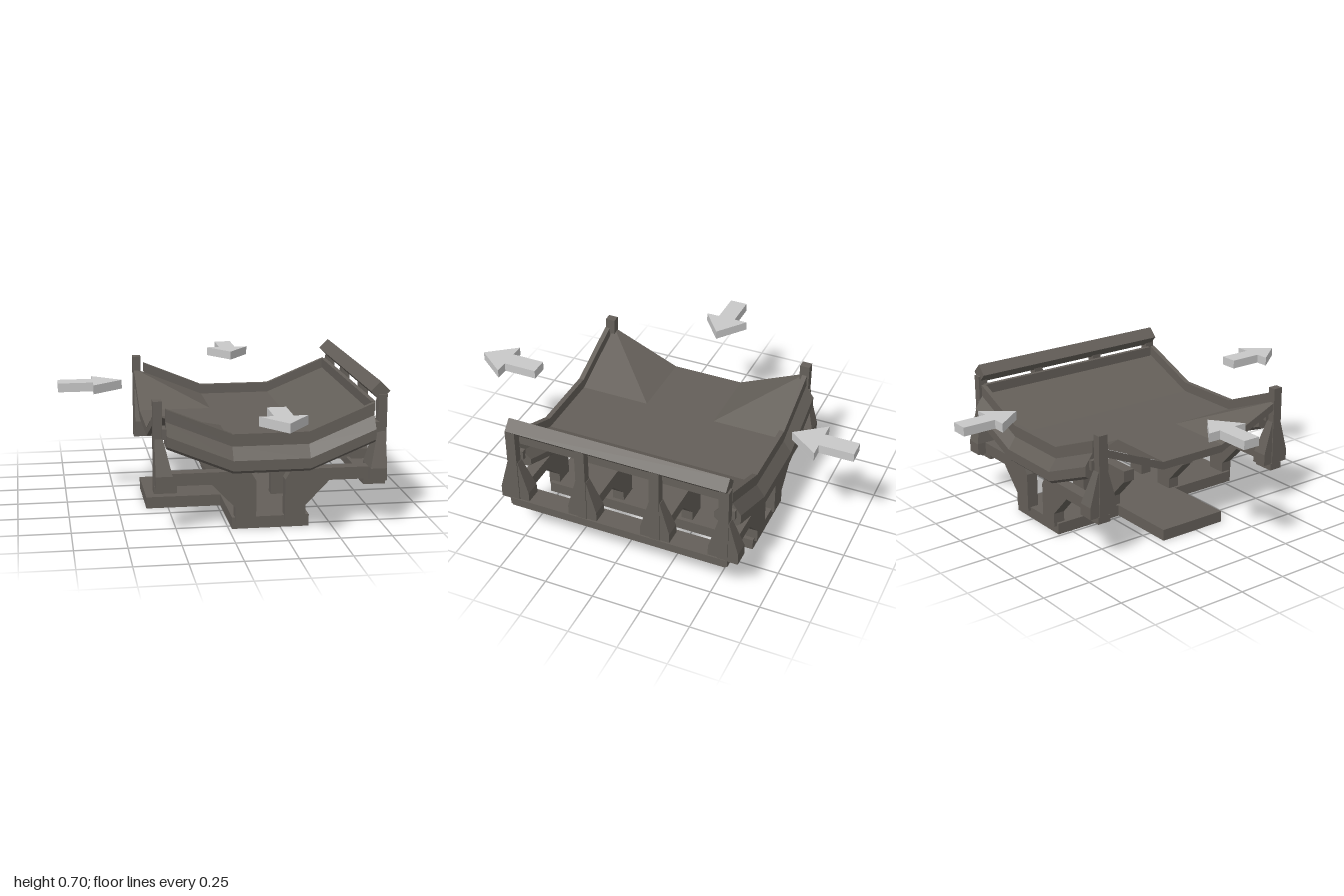
import * as THREE from 'three';

const ZC = -0.015;   // middle of the body along z
const XC = 0.2;      // mirror line of the support frames

export function createModel() {
  const model = new THREE.Group();
  const stone = new THREE.MeshStandardMaterial({ color: 0x645f59 });
  stone.name = 'warm grey stone';
  const stoneSheet = new THREE.MeshStandardMaterial({ color: 0x645f59, side: THREE.DoubleSide });
  stoneSheet.name = 'warm grey stone sheet';
  const pale = new THREE.MeshStandardMaterial({ color: 0xc8c8c8 });
  pale.name = 'pale grey';

  const add = (name, geometry, material = stone) => {
    const mesh = new THREE.Mesh(geometry, material);
    mesh.name = name;
    model.add(mesh);
    return mesh;
  };

  // Box given by its limits
  const box = (name, x0, x1, y0, y1, z0, z1) => {
    const g = new THREE.BoxGeometry(x1 - x0, y1 - y0, z1 - z0);
    g.translate((x0 + x1) / 2, (y0 + y1) / 2, (z0 + z1) / 2);
    return add(name, g);
  };

  // Capped, hard-edged solid through rings of [x, y, z] points
  const loft = (rings) => {
    const tris = [];
    const n = rings[0].length;
    for (let r = 0; r < rings.length - 1; r++) {
      for (let i = 0; i < n; i++) {
        const j = (i + 1) % n;
        const a = rings[r][i], b = rings[r][j], c = rings[r + 1][j], d = rings[r + 1][i];
        tris.push([a, b, c], [a, c, d]);
      }
    }
    const cap = (ring, flip) => {
      const mid = [0, 1, 2].map((k) => ring.reduce((s, p) => s + p[k], 0) / n);
      ring.forEach((p, i) => {
        const q = ring[(i + 1) % n];
        tris.push(flip ? [mid, q, p] : [mid, p, q]);
      });
    };
    cap(rings[0], true);
    cap(rings[rings.length - 1], false);
    // Turn all faces outward whichever way the rings run
    let volume = 0;
    const v = [0, 1, 2].map(() => new THREE.Vector3());
    for (const t of tris) {
      t.forEach((p, i) => v[i].set(...p));
      volume += v[0].dot(v[1].cross(v[2]));
    }
    if (volume < 0) tris.forEach((t) => t.reverse());
    const g = new THREE.BufferGeometry();
    g.setAttribute('position', new THREE.Float32BufferAttribute(tris.flat(2), 3));
    g.computeVertexNormals();
    return g;
  };

  // Prism from an x-y outline, centred on z
  const plate = (points, thickness, z) => {
    const shape = new THREE.Shape(points.map((p) => new THREE.Vector2(...p)));
    const g = new THREE.ExtrudeGeometry(shape, { depth: thickness, bevelEnabled: false });
    return g.translate(0, 0, z - thickness / 2);
  };

  // Base slab with its side extension
  box('base', 0.015, 0.39, 0, 0.058, ZC - 0.56, ZC + 0.56);
  box('baseExtension', -0.36, 0.015, 0, 0.058, -0.205, 0.165);

  // Floor: flat middle, one sloping side and two raised corners
  const xs = [-0.355, 0.015, 0.385, 0.7];
  const zs = [-0.555, -0.205, 0.165, 0.525];
  const height = (i, j) => (i === 3 ? 0.55 : i === 0 && (j === 0 || j === 3) ? 0.573 : 0.42);
  const floorPoints = [];
  const point = (i, j) => [xs[i], height(i, j), zs[j]];
  for (let i = 0; i < 3; i++) {
    for (let j = 0; j < 3; j++) {
      const a = point(i, j), b = point(i, j + 1), c = point(i + 1, j + 1), d = point(i + 1, j);
      if (j === 2) floorPoints.push(a, b, d, b, c, d);
      else floorPoints.push(a, b, c, a, c, d);
    }
  }
  const floor = new THREE.BufferGeometry();
  floor.setAttribute('position', new THREE.Float32BufferAttribute(floorPoints.flat(), 3));
  floor.computeVertexNormals();
  add('floor', floor, stoneSheet);

  // Thin skirt under the open edge, lip along the railed edge
  add('openEdgeSkirt', loft(zs.map((z, j) => {
    const y = height(0, j) - 0.002;
    return [[-0.355, y, z], [-0.335, y - 0.006, z], [-0.335, y - 0.04, z], [-0.355, y - 0.04, z]];
  })));
  box('railedEdgeLip', 0.69, 0.712, 0.55, 0.6, ZC - 0.545, ZC + 0.53);

  // Moulded kerbs following the dip: [distance from middle, height]
  const section = [[0.54, 0.47], [0.565, 0.47], [0.565, 0.41], [0.607, 0.35], [0.607, 0.3],
    [0.59, 0.285], [0.49, 0.285], [0.475, 0.3], [0.475, 0.33], [0.52, 0.37], [0.54, 0.41]];
  const stations = [[-0.3, 0.13], [0.015, 0], [0.385, 0], [0.7, 0.13]];
  for (const s of [-1, 1]) {
    add(s > 0 ? 'frontKerb' : 'backKerb', loft(stations.map(([x, rise]) =>
      section.map(([d, y]) => [x, y + rise, ZC + s * d]))));
  }

  // Support frames: a leg with an angled arm
  const frameOutline = [[-0.3, 0.29], [0.1, 0.29], [0.13, 0.24], [0.13, 0.04],
    [0.03, 0.04], [0.03, 0.11], [-0.085, 0.23], [-0.3, 0.23]];
  const shortOutline = frameOutline.map(([x, y]) => [Math.max(x, -0.09), y]);
  const mirrorX = (points) => points.map(([x, y]) => [2 * XC - x, y]);

  // Square upright with a flared buttress; side is -1 or 1 along x
  const addPost = (side, z) => {
    const at = (d) => XC + side * d;
    const span = (name, d0, d1, y0, y1, w) =>
      box(name, Math.min(at(d0), at(d1)), Math.max(at(d0), at(d1)), y0, y1, z - w, z + w);
    span('post', 0.518, 0.56, 0.2, 0.64, 0.025);
    const ring = (y, inner, outer, w) => [[at(inner), y, z - w], [at(outer), y, z - w],
      [at(outer), y, z + w], [at(inner), y, z + w]];
    add('buttress', loft([ring(0.23, 0.47, 0.555, 0.075), ring(0.29, 0.475, 0.555, 0.075),
      ring(0.46, 0.515, 0.555, 0.027)]));
  };

  [-0.56, -0.215, 0.165, 0.53].forEach((z, i) => {
    const end = i === 0 || i === 3;
    add('railSideFrame', plate(mirrorX(frameOutline), 0.06, z));
    add('openSideFrame', plate(end ? frameOutline : shortOutline, 0.06, z));
    addPost(1, z);
    if (end) {
      addPost(-1, z);
      box('cornerFoot', -0.36, -0.25, 0.197, 0.232, z - 0.035, z + 0.035);
      box('kerbBracket', -0.32, -0.295, 0.46, 0.51, z - 0.04, z + 0.04);
      box('kerbBracket', 0.695, 0.72, 0.46, 0.51, z - 0.04, z + 0.04);
    }
  });

  // Long beam and diamond-shaped handrail on the railed side
  box('sideBeam', 0.655, 0.763, 0.197, 0.24, ZC - 0.56, ZC + 0.56);
  const rail = add('handrail', new THREE.BoxGeometry(0.067, 0.067, 1.12));
  rail.position.set(0.728, 0.655, ZC);
  rail.rotation.z = Math.PI / 4;

  // Floating direction arrows, drawn pointing along +x from their tail
  const arrowOutline = [[0, -0.045], [0.172, -0.045], [0.172, -0.113], [0.32, 0],
    [0.172, 0.113], [0.172, 0.045], [0, 0.045]];
  const addArrow = (name, x, z, turn) => {
    const g = plate(arrowOutline, 0.045, 0).rotateX(-Math.PI / 2);
    const mesh = add(name, g, pale);
    mesh.position.set(x, 0.603, z);
    mesh.rotation.y = turn;
  };
  addArrow('sideArrow', -0.78, -0.02, 0);
  addArrow('backArrow', 0.2, -1, -Math.PI / 2);
  addArrow('frontArrow', 0.2, 0.677, -Math.PI / 2);

  return model;
}
